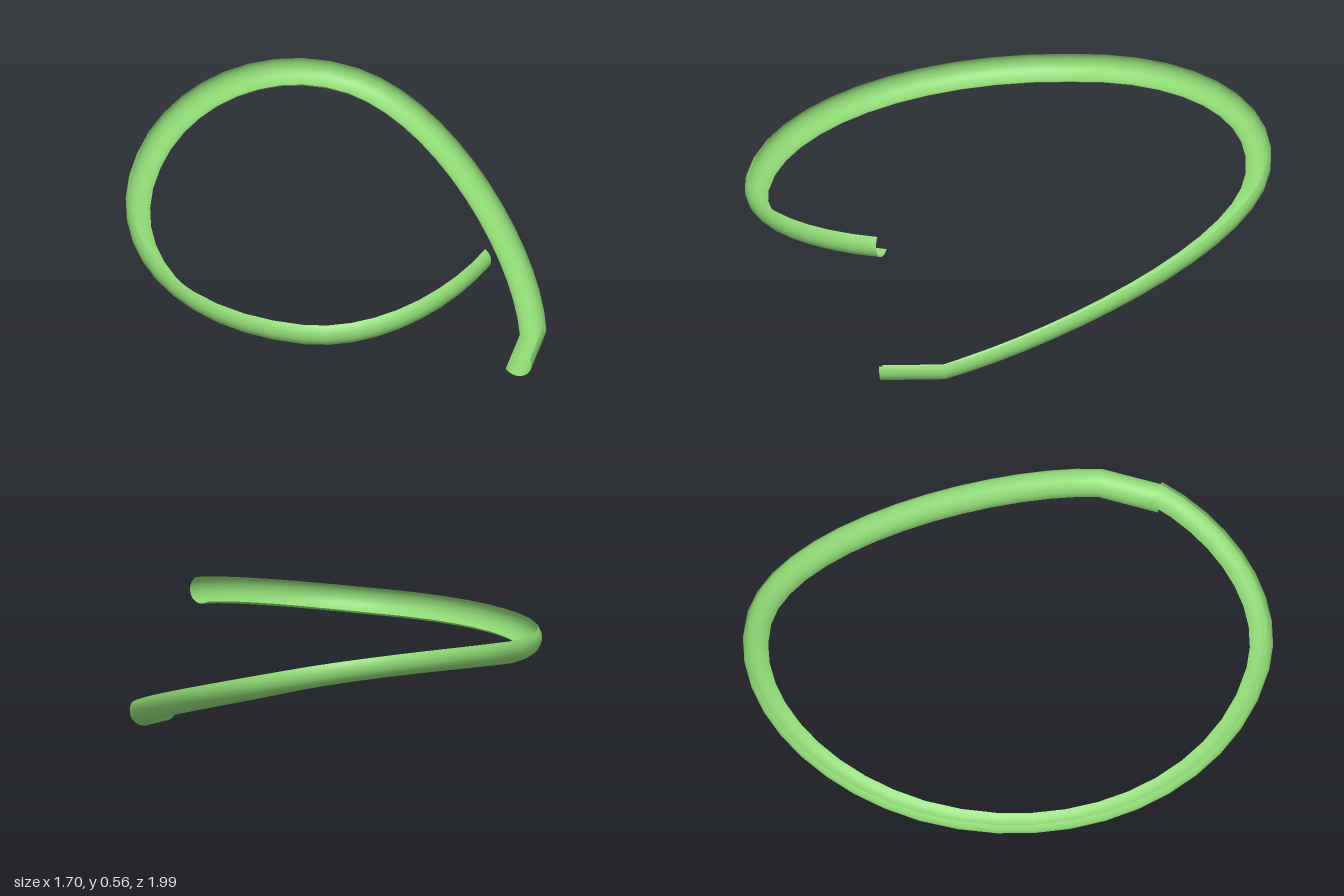
import * as THREE from 'three';

const RADIUS = 0.055;
const ARC_STEPS = 14;
const V = (x, y, z) => new THREE.Vector3(x, y, z);

// Centre line, from the low exit up to the high entry
function slidePath() {
  const path = new THREE.CurvePath();
  const kink = V(0.79, 0.075, 0.14), back = V(-0.2, 0.435, -0.945);
  const side = V(-0.797, 0.45, -0.14), front = V(0.1, 0.415, 0.94);
  path.add(new THREE.LineCurve3(V(0.795, 0.055, 0.38), kink));
  path.add(new THREE.CubicBezierCurve3(kink, V(0.67, 0.17, -0.25), V(0.18, 0.34, -0.945), back));
  path.add(new THREE.CubicBezierCurve3(back, V(-0.53, 0.515, -0.945), V(-0.797, 0.5, -0.59), side));
  path.add(new THREE.CubicBezierCurve3(side, V(-0.797, 0.41, 0.45), V(-0.39, 0.4, 0.94), front));
  path.add(new THREE.CubicBezierCurve3(front, V(0.37, 0.425, 0.94), V(0.58, 0.485, 0.68), V(0.645, 0.518, 0.395)));
  return path;
}

// Half-pipe cross-section swept along the path, banked towards the inside of the bend
function troughGeometry() {
  const segments = [1, 14, 10, 12, 9];
  const centres = [];
  slidePath().curves.forEach((curve, i) => {
    const points = curve.getPoints(segments[i]);
    centres.push(...(i ? points.slice(1) : points));
  });
  const last = centres.length - 1;
  const up = V(0, 1, 0), positions = [], indices = [];
  centres.forEach((centre, i) => {
    // Mitred direction at each joint
    const before = centre.clone().sub(centres[Math.max(i - 1, 0)]).normalize();
    const after = centres[Math.min(i + 1, last)].clone().sub(centre).normalize();
    const tangent = before.add(after).normalize();
    const inward = up.clone().cross(tangent).normalize();
    const above = tangent.clone().cross(inward);
    const bank = THREE.MathUtils.degToRad(30 + 25 * i / last);
    const across = inward.clone().multiplyScalar(Math.cos(bank)).addScaledVector(above, -Math.sin(bank));
    const opening = above.clone().multiplyScalar(Math.cos(bank)).addScaledVector(inward, Math.sin(bank));
    for (let j = 0; j <= ARC_STEPS; j++) {
      const a = Math.PI * j / ARC_STEPS;
      const p = centre.clone()
        .addScaledVector(across, RADIUS * Math.cos(a))
        .addScaledVector(opening, -RADIUS * Math.sin(a));
      positions.push(p.x, p.y, p.z);
      if (i < last && j < ARC_STEPS) {
        const k = i * (ARC_STEPS + 1) + j, n = k + ARC_STEPS + 1;
        indices.push(k, k + 1, n, k + 1, n + 1, n);
      }
    }
  });
  const geometry = new THREE.BufferGeometry();
  geometry.setAttribute('position', new THREE.Float32BufferAttribute(positions, 3));
  geometry.setIndex(indices);
  geometry.computeVertexNormals();
  return geometry;
}

export function createModel() {
  const group = new THREE.Group();
  group.name = 'spiralSlide';
  const trough = new THREE.Mesh(
    troughGeometry(),
    new THREE.MeshStandardMaterial({ color: 0x8fd975, side: THREE.DoubleSide })
  );
  trough.name = 'trough';
  group.add(trough);
  return group;
}
